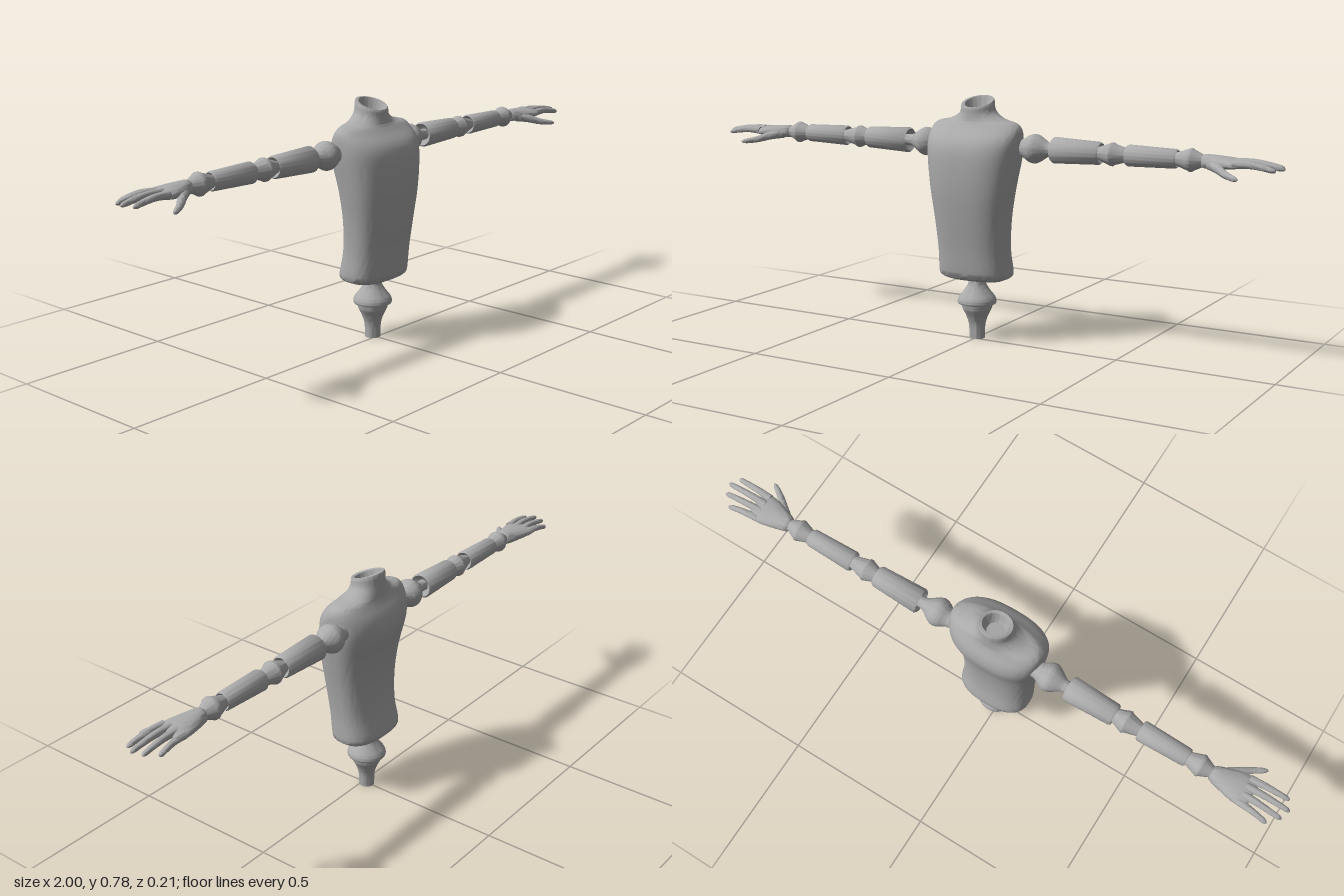
import * as THREE from 'three';
import { toCreasedNormals } from 'three/addons/utils/BufferGeometryUtils.js';

const V = (x, y, z) => new THREE.Vector3(x, y, z);
const TAU = Math.PI * 2;
const ARM_Y = 0.628, ARM_Z = -0.031;

// Skin a list of closed rings (counter-clockwise about the travel direction) and cap both ends
function loft(rings) {
  const n = rings[0].length, pos = [], idx = [];
  const push = (p) => pos.push(p.x, p.y, p.z);
  rings.forEach((r) => r.forEach(push));
  for (let i = 0; i < rings.length - 1; i++) {
    for (let j = 0; j < n; j++) {
      const a = i * n + j, b = i * n + (j + 1) % n;
      idx.push(a, b, b + n, a, b + n, a + n);
    }
  }
  [0, rings.length - 1].forEach((k) => {
    const c = pos.length / 3, centre = V(0, 0, 0);
    rings[k].forEach((p) => centre.addScaledVector(p, 1 / n));
    push(centre);
    for (let j = 0; j < n; j++) {
      const a = k * n + j, b = k * n + (j + 1) % n;
      if (k) idx.push(c, a, b); else idx.push(c, b, a);
    }
  });
  const g = new THREE.BufferGeometry();
  g.setAttribute('position', new THREE.Float32BufferAttribute(pos, 3));
  g.setIndex(idx);
  return g;
}

// Smoothly interpolate a few section rows into many
function refine(rows, steps) {
  const curve = new THREE.CubicInterpolant(rows.map((_, i) => i), rows.flat(), rows[0].length);
  const count = (rows.length - 1) * steps;
  return Array.from({ length: count + 1 }, (_, i) => [...curve.evaluate(i / steps)]);
}

// Rounded-square outline point for angle t and exponent e
function superPoint(t, e) {
  const f = (v) => Math.sign(v) * Math.pow(Math.abs(v), 2 / e);
  return [f(Math.cos(t)), f(Math.sin(t))];
}

function makeRing(n, fn) {
  return Array.from({ length: n }, (_, j) => fn((j / n) * TAU));
}

// Turned part from [height, radius] pairs
function lathe(profile) {
  return new THREE.LatheGeometry(profile.map(([y, r]) => new THREE.Vector2(r, y)), 36);
}

// Lay a turned part along the arm
function alongArm(profile) {
  return lathe(profile).rotateZ(-Math.PI / 2).translate(0, ARM_Y, ARM_Z);
}

// Smooth profile closed onto the axis at both ends
function closed(rows) {
  return [[rows[0][0], 0], ...refine(rows, 4), [rows.at(-1)[0], 0]];
}

// Arm segment with hollowed, softly rounded ends
function segment(x0, x1, r0, r1) {
  const end = (x, r, s) => [[x + s * 0.02, 0], [x + s * 0.014, r * 0.5], [x, r * 0.88], [x + s * 0.006, r]];
  return alongArm([...end(x0, r0, 1), ...end(x1, r1, -1).reverse()]);
}

// Double-cone joint with a rounded ridge
function joint(x0, xm, x1, r, ends) {
  return alongArm([[x0, 0], [x0, ends], [xm - 0.007, r * 0.93], [xm - 0.002, r],
    [xm + 0.004, r], [xm + 0.008, r * 0.9], [x1, ends], [x1, 0]]);
}

// Finger following a curve, tapering to a round tip
function finger(points, r0, r1) {
  const curve = new THREE.CatmullRomCurve3(points);
  return loft(Array.from({ length: 21 }, (_, i) => {
    const t = Math.sin((i / 20) * Math.PI / 2);
    const p = curve.getPoint(t), d = curve.getTangent(t);
    const side = V(0, 1, 0).cross(d).normalize(), up = d.clone().cross(side);
    const tip = Math.sqrt(Math.max(0.02, 1 - (Math.max(0, t - 0.87) / 0.13) ** 2));
    const r = (r0 + (r1 - r0) * t) * tip;
    return makeRing(12, (a) => p.clone()
      .addScaledVector(side, r * Math.cos(a)).addScaledVector(up, r * Math.sin(a)));
  }));
}

// Palm sections: x, half height, front z, back z
function palm() {
  const rows = [[0.748, 0.012, -0.017, -0.045], [0.754, 0.02, -0.008, -0.054],
    [0.785, 0.02, 0.005, -0.064], [0.84, 0.016, 0.021, -0.077],
    [0.875, 0.01, 0.018, -0.077], [0.886, 0.004, 0.01, -0.07]];
  return loft(refine(rows, 3).map(([x, h, zf, zb]) => makeRing(28, (t) => {
    const [c, s] = superPoint(t, 2.4);
    return V(x, ARM_Y + c * h - 0.004 * s * s, (zf + zb) / 2 + s * (zf - zb) / 2);
  })));
}

// Torso sections: y, half width, front z, back z
function torso() {
  const rows = [[0.201, 0.1, 0.05, -0.066], [0.211, 0.119, 0.066, -0.087],
    [0.23, 0.123, 0.072, -0.092], [0.3, 0.12, 0.08, -0.077], [0.4, 0.127, 0.094, -0.073],
    [0.5, 0.141, 0.105, -0.083], [0.6, 0.155, 0.104, -0.105], [0.65, 0.158, 0.089, -0.1],
    [0.685, 0.155, 0.055, -0.083], [0.703, 0.138, 0.04, -0.075], [0.713, 0.095, 0.036, -0.074],
    [0.735, 0.06, 0.033, -0.072], [0.765, 0.053, 0.032, -0.071]];
  const [y0, w0, f0, b0] = rows.at(-1);
  // Rim and hollow of the neck: [rise, inset] from the last section
  const hollow = [[0.003, 0.002], [0.002, 0.011], [-0.003, 0.013], [-0.03, 0.016], [-0.05, 0.024]]
    .map(([rise, inset]) => [y0 + rise, w0 - inset, f0 - inset, b0 + inset]);
  return loft([...refine(rows, 3), ...hollow].map(([y, w, zf, zb]) => {
    const e = 2.55 - 0.55 * THREE.MathUtils.smoothstep(y, 0.66, 0.72);
    const slant = Math.max(0, y - 0.7) * 0.23;
    return makeRing(64, (t) => {
      const [c, s] = superPoint(t, e);
      return V(s * w, y - c * slant, (zf + zb) / 2 + c * (zf - zb) / 2);
    });
  }));
}

function mirrored(geo) {
  const g = geo.clone().scale(-1, 1, 1), ix = g.index.array;
  for (let i = 0; i < ix.length; i += 3) [ix[i], ix[i + 1]] = [ix[i + 1], ix[i]];
  return g;
}

export function createModel() {
  const root = new THREE.Group();
  root.name = 'jointedUpperBody';
  const grey = new THREE.MeshStandardMaterial({ color: 0xaaaaaa });
  grey.name = 'plain grey';
  const add = (parent, name, geo) => {
    const m = new THREE.Mesh(toCreasedNormals(geo, 0.9), grey);
    m.name = name;
    parent.add(m);
  };

  add(root, 'torso', torso());

  // Waist: flared stem with a bell-shaped joint above it
  add(root, 'waistStem', lathe(closed([[0, 0.025], [0.045, 0.027], [0.075, 0.036],
    [0.1, 0.048], [0.118, 0.05]])).translate(0, 0, -0.015));
  add(root, 'waistJoint', lathe(closed([[0.116, 0.061], [0.122, 0.063], [0.136, 0.059],
    [0.16, 0.041], [0.182, 0.029], [0.215, 0.026]])).translate(0, 0, -0.015));

  // Arm parts for the left side, mirrored for the right
  const parts = {
    shoulderJoint: alongArm(closed([[0.14, 0.026], [0.162, 0.03], [0.182, 0.042],
      [0.202, 0.046], [0.222, 0.037], [0.25, 0.02], [0.285, 0.018]])),
    upperArm: segment(0.262, 0.425, 0.041, 0.035),
    elbowJoint: joint(0.405, 0.461, 0.53, 0.036, 0.015),
    forearm: segment(0.51, 0.672, 0.033, 0.029),
    wristJoint: joint(0.652, 0.713, 0.76, 0.035, 0.014),
    palm: palm(),
    thumb: finger([V(0.775, 0.622, -0.018), V(0.81, 0.614, 0.012), V(0.845, 0.602, 0.042),
      V(0.89, 0.594, 0.072)], 0.017, 0.0075),
  };
  // Fingers: root z, tip z, tip x, root y
  [['indexFinger', 0.01, 0.018, 0.983, 0.629], ['middleFinger', -0.016, -0.013, 1, 0.632],
    ['ringFinger', -0.042, -0.046, 0.99, 0.63], ['littleFinger', -0.066, -0.077, 0.958, 0.625],
  ].forEach(([name, z0, z1, x1, y]) => {
    const at = (t, dy) => V(0.855 + (x1 - 0.855) * t, y + dy, z0 + (z1 - z0) * t);
    parts[name] = finger([at(0, 0), at(0.35, 0.002), at(0.7, -0.003), at(1, -0.011)], 0.0125, 0.0075);
  });

  const left = new THREE.Group(), right = new THREE.Group();
  left.name = 'leftArm';
  right.name = 'rightArm';
  root.add(left, right);
  for (const [name, geo] of Object.entries(parts)) {
    add(left, name, geo);
    add(right, name, mirrored(geo));
  }
  return root;
}
